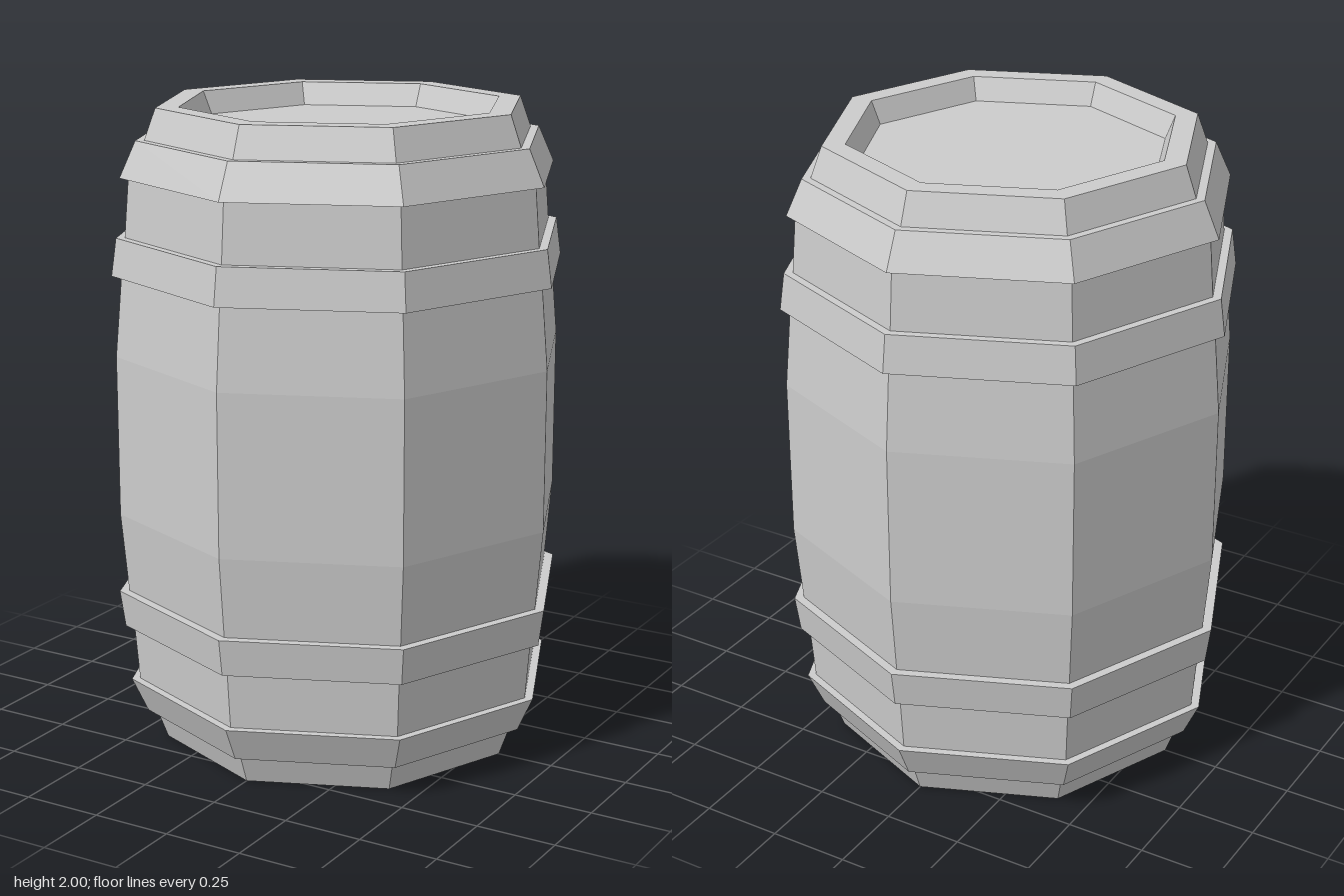
import * as THREE from 'three';

const SIDES = 8;
const HEIGHT = 2;

export function createModel() {
  const group = new THREE.Group();
  group.name = 'barrel';
  const grey = new THREE.MeshStandardMaterial({ color: 0xcccccc });
  grey.name = 'plain grey';

  const add = (name, geometry) => {
    const mesh = new THREE.Mesh(geometry, grey);
    mesh.name = name;
    group.add(mesh);
  };

  // Eight-sided faceted ring from a [radius, height] profile, outside going up
  const ring = (profile) => {
    const points = profile.map(([r, y]) => new THREE.Vector2(r, y));
    const geometry = new THREE.LatheGeometry(points, SIDES).toNonIndexed();
    geometry.computeVertexNormals();
    return geometry;
  };

  // Mirror a profile about mid-height, keeping its direction
  const mirror = (profile) => profile.map(([r, y]) => [r, HEIGHT - y]).reverse();

  // Staves: recessed rim, then the bulging outside, then the opposite rim
  const lower = [[0.47, 0.07], [0.5, 0], [0.57, 0], [0.605, 0.095], [0.655, 0.2],
    [0.67, 0.385], [0.683, 0.5], [0.705, 0.75]];
  add('staves', ring([...lower, ...mirror(lower)]));

  // Flat heads set into both ends
  for (const [name, y, turn] of [['topHead', HEIGHT - 0.07, -1], ['bottomHead', 0.07, 1]]) {
    const head = new THREE.CircleGeometry(0.47, SIDES);
    head.rotateX(turn * Math.PI / 2).translate(0, y, 0);
    add(name, head);
  }

  // Hoops: closed bands widening towards the middle of the barrel
  const hoops = {
    EndHoop: [[0.6, 0.095], [0.632, 0.095], [0.682, 0.205], [0.65, 0.205]],
    MiddleHoop: [[0.665, 0.385], [0.697, 0.385], [0.713, 0.5], [0.68, 0.5]],
  };
  for (const [name, profile] of Object.entries(hoops)) {
    add('bottom' + name, ring(profile));
    add('top' + name, ring(mirror(profile)));
  }
  return group;
}
